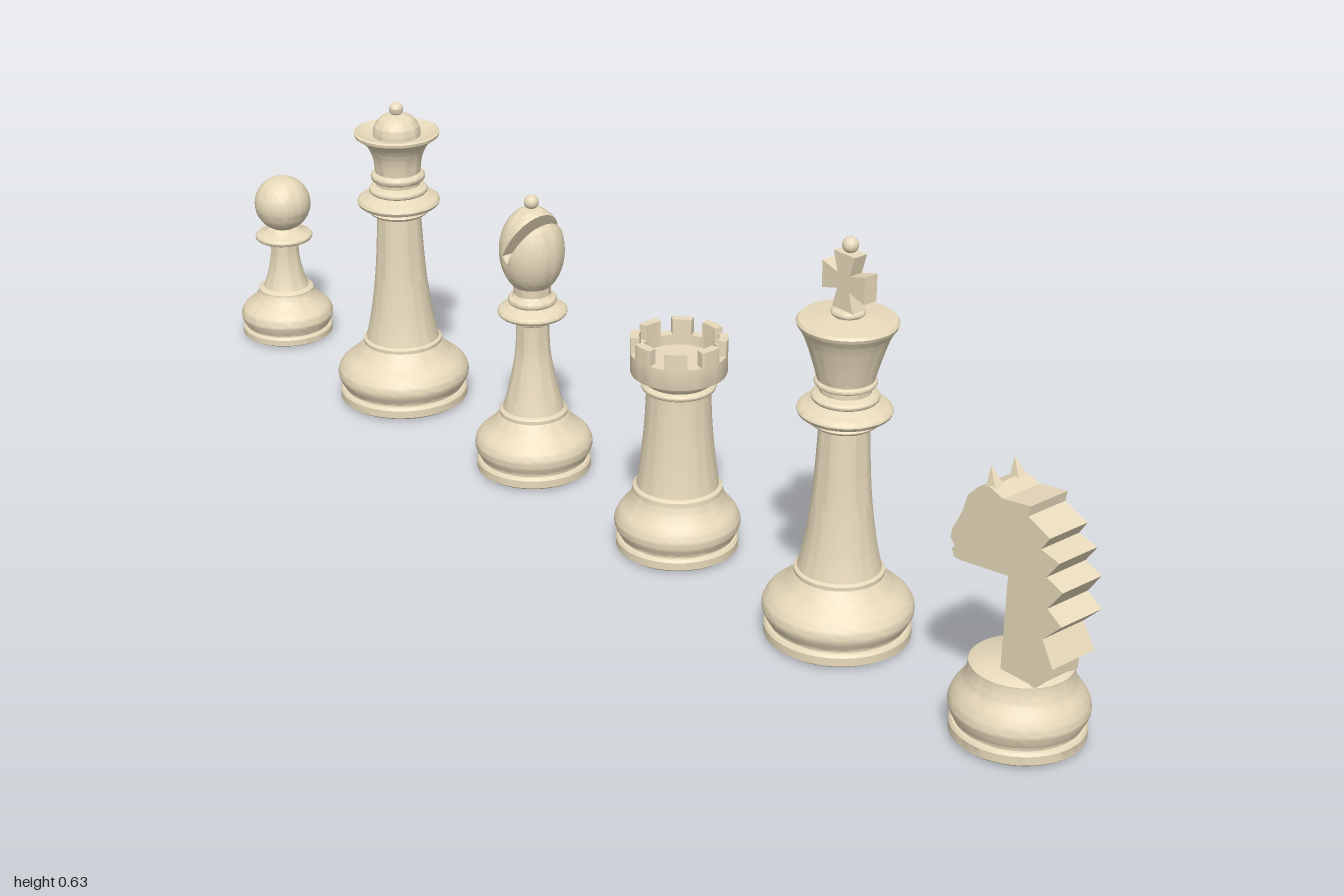
import * as THREE from 'three';
import { toCreasedNormals } from 'three/addons/utils/BufferGeometryUtils.js';

const wood = new THREE.MeshStandardMaterial({ color: 0xe8dabb });
const felt = new THREE.MeshStandardMaterial({ color: 0x3a0508 });

const vec = (pts) => pts.map(([x, y]) => new THREE.Vector2(x, y));
const curve = (pts, n = 14) => new THREE.SplineCurve(vec(pts)).getPoints(n).map((p) => [Math.max(p.x, 0), p.y]);
// rounded bead on a profile, from y0 to y1, bulging from r0 to r1
const bead = (r0, r1, y0, y1) => Array.from({ length: 9 }, (_, i) => {
  const a = (i / 8) * Math.PI;
  return [r0 + (r1 - r0) * Math.sin(a), (y0 + y1) / 2 - ((y1 - y0) / 2) * Math.cos(a)];
});
// upper part of a ball whose outline meets radius neck
const ball = (r, cy, neck) => {
  const a0 = Math.asin(neck / r);
  return Array.from({ length: 17 }, (_, i) => {
    const a = Math.PI - a0 - (i / 16) * (Math.PI - a0);
    return [i === 16 ? 0 : r * Math.sin(a), cy + r * Math.cos(a)];
  });
};

function mesh(name, geometry, material = wood) {
  const m = new THREE.Mesh(geometry, material);
  m.name = name;
  return m;
}
const turned = (name, pts) => mesh(name, toCreasedNormals(new THREE.LatheGeometry(vec(pts), 56), 0.6));

// weighted foot: flat disc, groove, round bulge and shoulder; felt underneath
function piece(name, x, R, h, shoulder) {
  const g = new THREE.Group();
  g.name = name;
  g.position.x = x;
  const k = h / 0.113;
  g.add(turned('foot', [
    [0.64 * R, 0.003], [0.92 * R, 0.003], [0.97 * R, 0.007 * k], [0.97 * R, 0.02 * k], [0.94 * R, 0.024 * k],
    [0.9 * R, 0.025 * k], [0.9 * R, 0.028 * k],
    ...curve([[0.92 * R, 0.029 * k], [R, 0.049 * k], [0.94 * R, 0.068 * k], [0.5 * (0.9 * R + shoulder), 0.088 * k], [shoulder + 0.004, 0.107 * k]]),
    [shoulder + 0.004, h], [shoulder - 0.002, h + 0.004], [0, h + 0.004],
  ]));
  const pad = mesh('feltPad', new THREE.CylinderGeometry(0.67 * R, 0.67 * R, 0.006, 48), felt);
  pad.position.y = 0.003;
  g.add(pad);
  return g;
}

function pawn() {
  const g = piece('pawn', -0.918, 0.083, 0.09, 0.045);
  g.add(turned('stem', [
    ...curve([[0.042, 0.09], [0.033, 0.115], [0.026, 0.15], [0.025, 0.178]]),
    [0.034, 0.181], ...bead(0.044, 0.051, 0.184, 0.196), [0.03, 0.202], [0.024, 0.208],
  ]));
  g.add(turned('head', ball(0.05, 0.252, 0.022)));
  return g;
}

// shared column of king and queen, ending in the double collar
const column = (y) => turned('column', [
  ...curve([[0.063, 0.113], [0.053, 0.16], [0.043, 0.24], [0.037, y - 0.025]]),
  ...bead(0.037, 0.05, y - 0.025, y - 0.012), ...bead(0.055, 0.07, y - 0.01, y + 0.008),
  [0.05, y + 0.012], ...bead(0.042, 0.05, y + 0.014, y + 0.026), [0.036, y + 0.03], [0, y + 0.03],
]);

function queen() {
  const g = piece('queen', -0.557, 0.113, 0.113, 0.063);
  g.add(column(0.366));
  g.add(turned('crown', [
    [0.037, 0.39], [0.037, 0.402], ...bead(0.038, 0.046, 0.402, 0.418),
    ...curve([[0.038, 0.418], [0.042, 0.445], [0.053, 0.468], [0.071, 0.483]]),
    [0.072, 0.488], [0.068, 0.49], [0.05, 0.482], [0.04, 0.482],
    ...curve([[0.04, 0.488], [0.036, 0.503], [0.024, 0.515], [0.007, 0.52]]), ...ball(0.012, 0.528, 0.007),
  ]));
  return g;
}

function king() {
  const g = piece('king', 0.533, 0.113, 0.113, 0.063);
  g.add(column(0.37));
  g.add(turned('crown', [
    [0.038, 0.394], [0.038, 0.408], ...bead(0.04, 0.046, 0.408, 0.418),
    ...curve([[0.042, 0.418], [0.051, 0.45], [0.063, 0.485], [0.073, 0.502]]),
    [0.074, 0.506], [0.071, 0.51], [0.03, 0.514], [0.021, 0.515], ...bead(0.021, 0.025, 0.516, 0.526), [0, 0.526],
  ]));
  // flared cross
  const arms = [];
  for (let i = 0; i < 4; i++) {
    const a = (i * Math.PI) / 2, c = Math.cos(a), s = Math.sin(a);
    for (const [px, py] of [[0.012, -0.012], [0.043, -0.021], [0.043, 0.021]]) arms.push([px * c - py * s, px * s + py * c]);
  }
  const geo = new THREE.ExtrudeGeometry(new THREE.Shape(vec(arms)), { depth: 0.024, bevelEnabled: false });
  const cross = mesh('cross', geo.translate(0, 0.568, -0.012));
  const tip = mesh('crossFinial', new THREE.SphereGeometry(0.012, 24, 16));
  tip.position.y = 0.622;
  g.add(cross, tip);
  return g;
}

function bishop() {
  const g = piece('bishop', -0.192, 0.097, 0.108, 0.052);
  g.add(turned('column', [
    ...curve([[0.051, 0.108], [0.039, 0.155], [0.029, 0.21], [0.027, 0.262]]),
    [0.034, 0.266], [0.036, 0.272], ...bead(0.046, 0.057, 0.275, 0.29), [0.04, 0.294],
    ...bead(0.033, 0.04, 0.296, 0.31), [0.03, 0.314], [0.031, 0.335], [0, 0.335],
  ]));
  // mitre: unit ball sliced along the slot normal; rings inside the slot are pushed back to its floor
  const w = 0.13, floor = -0.1, rings = [];
  const ring = (s, cut) => rings.push([Math.sqrt(Math.max(0, 1 - s * s)), s, cut]);
  const edge = Math.asin(w);
  for (let i = 0; i <= 14; i++) { const a = -Math.PI / 2 + (i / 14) * (Math.PI / 2 - edge); ring(Math.sin(a), false); }
  for (const s of [-w, 0, w]) ring(s, true);
  for (let i = 0; i <= 14; i++) { const a = edge + (i / 14) * (Math.PI / 2 - edge); ring(Math.sin(a), false); }
  const geo = new THREE.LatheGeometry(vec(rings), 64);
  const p = geo.attributes.position;
  for (let i = 0; i < p.count; i++) {
    if (rings[i % rings.length][2]) p.setX(i, Math.min(p.getX(i), floor));
  }
  geo.rotateZ(0.95).scale(0.053, 0.074, 0.053).translate(0, 0.388, 0);
  g.add(mesh('mitre', toCreasedNormals(geo, 0.6)));
  const tip = mesh('finial', new THREE.SphereGeometry(0.012, 24, 16));
  tip.position.y = 0.47;
  g.add(tip);
  return g;
}

function rook() {
  const g = piece('rook', 0.17, 0.099, 0.108, 0.066);
  g.add(turned('tower', [
    ...curve([[0.065, 0.108], [0.059, 0.15], [0.053, 0.21], [0.05, 0.27]]),
    ...bead(0.05, 0.058, 0.272, 0.284), [0.054, 0.287], [0.058, 0.295], [0.074, 0.301],
    [0.075, 0.304], [0.075, 0.335], [0.061, 0.335], [0.061, 0.318], [0, 0.318],
  ]));
  // battlements
  const gap = 0.17, half = Math.PI / 8 - gap / 1.1;
  for (let i = 0; i < 8; i++) {
    const a = (i * Math.PI) / 4, s = new THREE.Shape();
    s.absarc(0, 0, 0.075, a - half, a + half, false);
    s.absarc(0, 0, 0.061, a + half, a - half, true);
    const geo = new THREE.ExtrudeGeometry(s, { depth: 0.026, bevelEnabled: false, curveSegments: 8 });
    g.add(mesh('battlement', toCreasedNormals(geo.rotateX(-Math.PI / 2).translate(0, 0.334, 0), 0.6)));
  }
  return g;
}

function knight() {
  const g = piece('knight', 0.897, 0.1, 0.115, 0.07);
  // horse outline: chest, jaw, muzzle, brow, then the toothed mane down the back
  const outline = [
    ...curve([[-0.066, 0.117], [-0.083, 0.135], [-0.084, 0.165], [-0.06, 0.202], [-0.03, 0.23], [-0.018, 0.258]], 16),
    ...curve([[-0.026, 0.262], [-0.05, 0.257], [-0.07, 0.265], [-0.08, 0.262]], 8),
    [-0.088, 0.25], [-0.1, 0.25], [-0.106, 0.262], [-0.1, 0.267], [-0.11, 0.277], [-0.107, 0.292],
    [-0.092, 0.322], [-0.083, 0.352], [-0.066, 0.37], [-0.045, 0.378], [-0.02, 0.37],
    [0.03, 0.378], [0.027, 0.362], [0.068, 0.345], [0.054, 0.324], [0.088, 0.316], [0.068, 0.288],
    [0.098, 0.276], [0.074, 0.243], [0.101, 0.226], [0.07, 0.195], [0.092, 0.158], [0.066, 0.146], [0.064, 0.117],
  ].reverse();
  const geo = new THREE.ExtrudeGeometry(new THREE.Shape(vec(outline)), { depth: 2, bevelEnabled: false }).translate(0, 0, -1);
  const p = geo.attributes.position;
  for (let i = 0; i < p.count; i++) p.setZ(i, p.getZ(i) * (0.043 - (p.getY(i) - 0.12) * 0.027));
  g.add(mesh('horseHead', toCreasedNormals(geo, 0.45)));
  // pair of pointed ears
  for (const side of [-1, 1]) {
    const ear = new THREE.ConeGeometry(0.018, 0.042, 4).rotateY(Math.PI / 4).toNonIndexed();
    ear.computeVertexNormals();
    const m = mesh('ear', ear);
    m.position.set(-0.05, 0.382, side * 0.023);
    m.rotation.z = 0.3;
    g.add(m);
  }
  return g;
}

export function createModel() {
  const group = new THREE.Group();
  group.name = 'chessPieces';
  group.add(pawn(), queen(), bishop(), rook(), king(), knight());
  return group;
}
